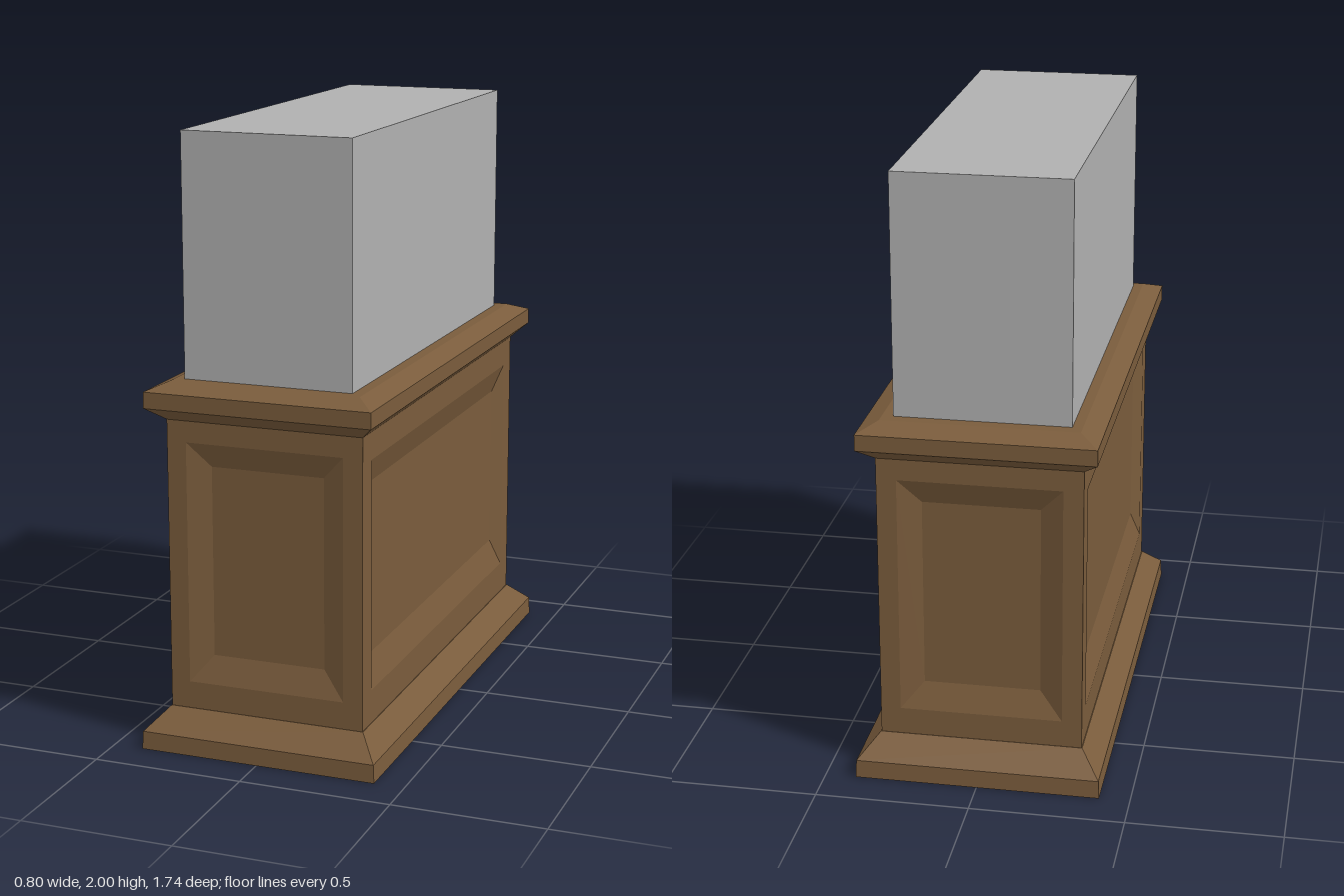
import * as THREE from 'three';

// Skin a stack of four-cornered rings with flat faces, capping the last and optionally the first
function loft(name, rings, material, capStart = false) {
  const pos = [];
  const quad = (a, b, c, d) => pos.push(...a, ...b, ...c, ...a, ...c, ...d);
  for (let r = 0; r < rings.length - 1; r++) {
    const a = rings[r], b = rings[r + 1];
    for (let i = 0; i < 4; i++) {
      const j = (i + 1) % 4;
      quad(a[i], a[j], b[j], b[i]);
    }
  }
  quad(...rings[rings.length - 1]);
  if (capStart) quad(...[...rings[0]].reverse());
  const geo = new THREE.BufferGeometry();
  geo.setAttribute('position', new THREE.Float32BufferAttribute(pos, 3));
  geo.computeVertexNormals();
  const mesh = new THREE.Mesh(geo, material);
  mesh.name = name;
  return mesh;
}

// Horizontal ring with half sizes x, z at height y
const level = ([x, y, z]) => [[-x, y, z], [x, y, z], [x, y, -z], [-x, y, -z]];
// Upright ring facing +z
const upright = (w, y0, y1, z) => [[-w, y0, z], [w, y0, z], [w, y1, z], [-w, y1, z]];

export function createModel() {
  const wood = new THREE.MeshStandardMaterial({ color: 0x7a5c3c });
  wood.name = 'wood';
  const grey = new THREE.MeshStandardMaterial({ color: 0xb0b0b0 });
  grey.name = 'grey';
  const group = new THREE.Group();
  group.name = 'displayPedestal';

  // Plinth with sloped upper moulding
  group.add(loft('plinth', [
    [0.4, 0, 0.868], [0.397, 0.06, 0.866], [0.332, 0.13, 0.784],
  ].map(level), wood, true));

  // Four walls, each with a bevelled recessed panel
  const X = 0.33, Z = 0.783, depth = 0.03;
  const walls = [
    ['front', 0, X, Z], ['left', 1, Z, X], ['back', 2, X, Z], ['right', 3, Z, X],
  ];
  for (const [side, turn, half, out] of walls) {
    const narrow = turn % 2 === 0;
    const [ow, oy0, oy1] = narrow ? [0.265, 0.22, 1.02] : [0.7, 0.24, 1.0];
    const [iw, iy0, iy1] = narrow ? [0.19, 0.31, 0.94] : [0.655, 0.34, 0.91];
    const wall = loft(side + 'PanelledWall', [
      upright(half, 0.13, 1.09, out),
      upright(ow, oy0, oy1, out),
      upright(iw, iy0, iy1, out - depth),
    ], wood);
    wall.rotation.y = turn * Math.PI / 2;
    group.add(wall);
  }

  // Cornice, flaring out and chamfered on top
  group.add(loft('cornice', [
    [0.33, 1.09, 0.783], [0.38, 1.135, 0.847], [0.38, 1.188, 0.847], [0.317, 1.215, 0.775],
  ].map(level), wood, true));

  // Display case on top
  const box = new THREE.Mesh(new THREE.BoxGeometry(0.565, 0.79, 1.475), grey);
  box.name = 'displayCase';
  box.position.set(-0.002, 1.605, 0.003);
  group.add(box);

  return group;
}
